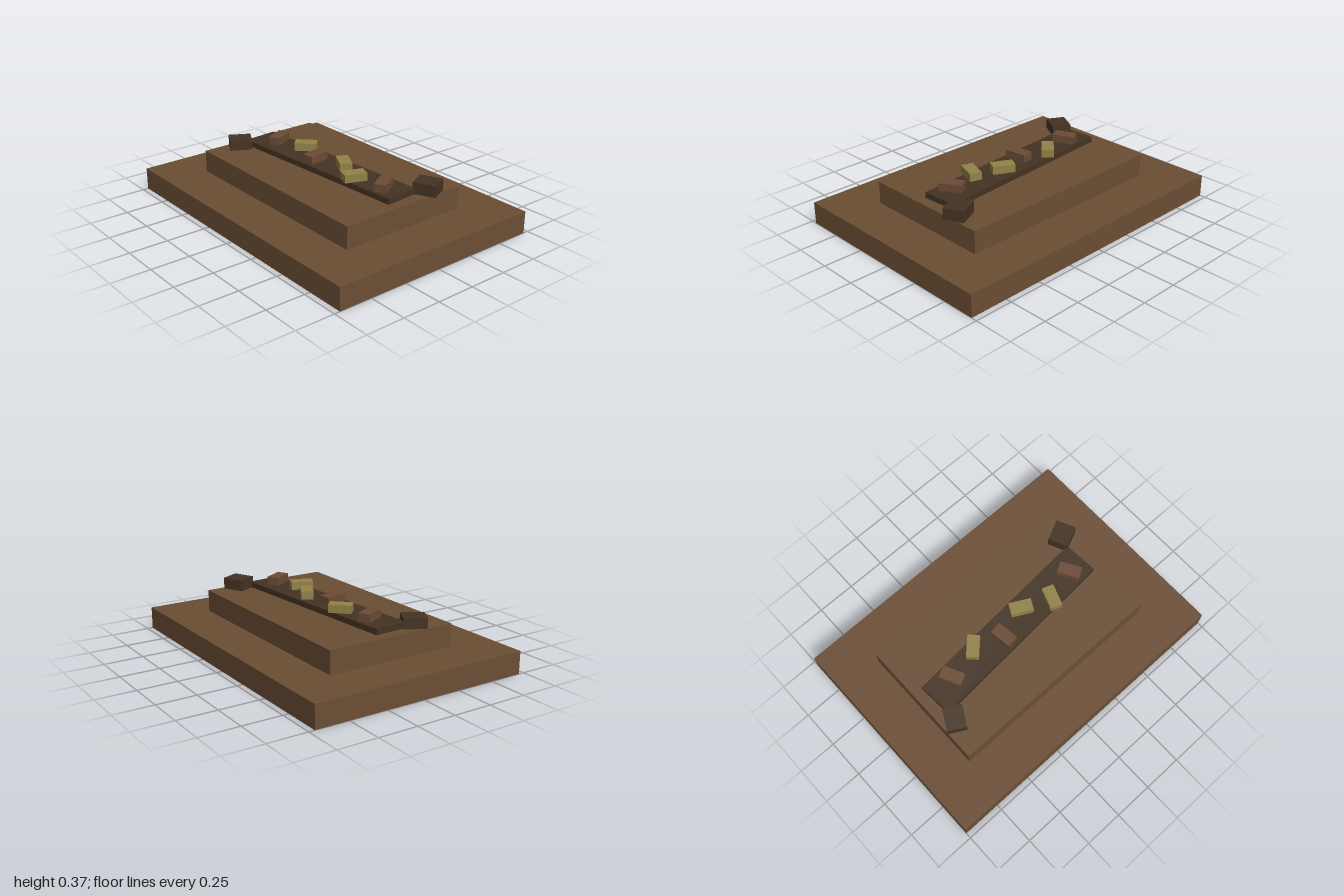
import * as THREE from 'three';

export function createModel() {
  const root = new THREE.Group();
  const mat = (name, color) => {
    const m = new THREE.MeshStandardMaterial({ color });
    m.name = name;
    return m;
  };
  const earth = mat('earth brown', 0x6b4e34);
  const darkWood = mat('dark wood', 0x443323);
  const clay = mat('clay brown', 0x6b4b35);
  const straw = mat('straw', 0x928248);

  // Box resting on height y, turned by an angle in degrees
  const block = (name, material, [w, h, d], [x, y, z], turn = 0) => {
    const mesh = new THREE.Mesh(new THREE.BoxGeometry(w, h, d), material);
    mesh.name = name;
    mesh.position.set(x, y + h / 2, z);
    mesh.rotation.y = THREE.MathUtils.degToRad(turn);
    root.add(mesh);
  };

  // Stepped platform
  block('lowerStep', earth, [2, 0.143, 1.428], [0, 0, 0]);
  block('upperStep', earth, [1.428, 0.143, 0.856], [0, 0.143, 0]);

  // Long board lying slightly askew on top
  block('board', darkWood, [1.285, 0.036, 0.226], [0, 0.286, 0], 4);

  // Blocks at opposite corners of the board
  block('leftFarBlock', darkWood, [0.143, 0.073, 0.129], [0.657, 0.286, -0.232], 25);
  block('rightNearBlock', darkWood, [0.122, 0.066, 0.143], [-0.63, 0.286, 0.212], -29);

  // Small pieces scattered along the board: x, z, turn, material
  const pieces = [
    [-0.473, 0.011, 26, clay],
    [-0.258, -0.043, 135, straw],
    [-0.072, 0.027, 8, clay],
    [0.128, -0.037, 62, straw],
    [0.313, 0.041, -20, straw],
    [0.515, -0.014, 30, clay],
  ];
  pieces.forEach(([x, z, turn, material], i) =>
    block(`piece${i + 1}`, material, [0.077, 0.05, 0.141], [x, 0.322, z], turn));

  return root;
}
